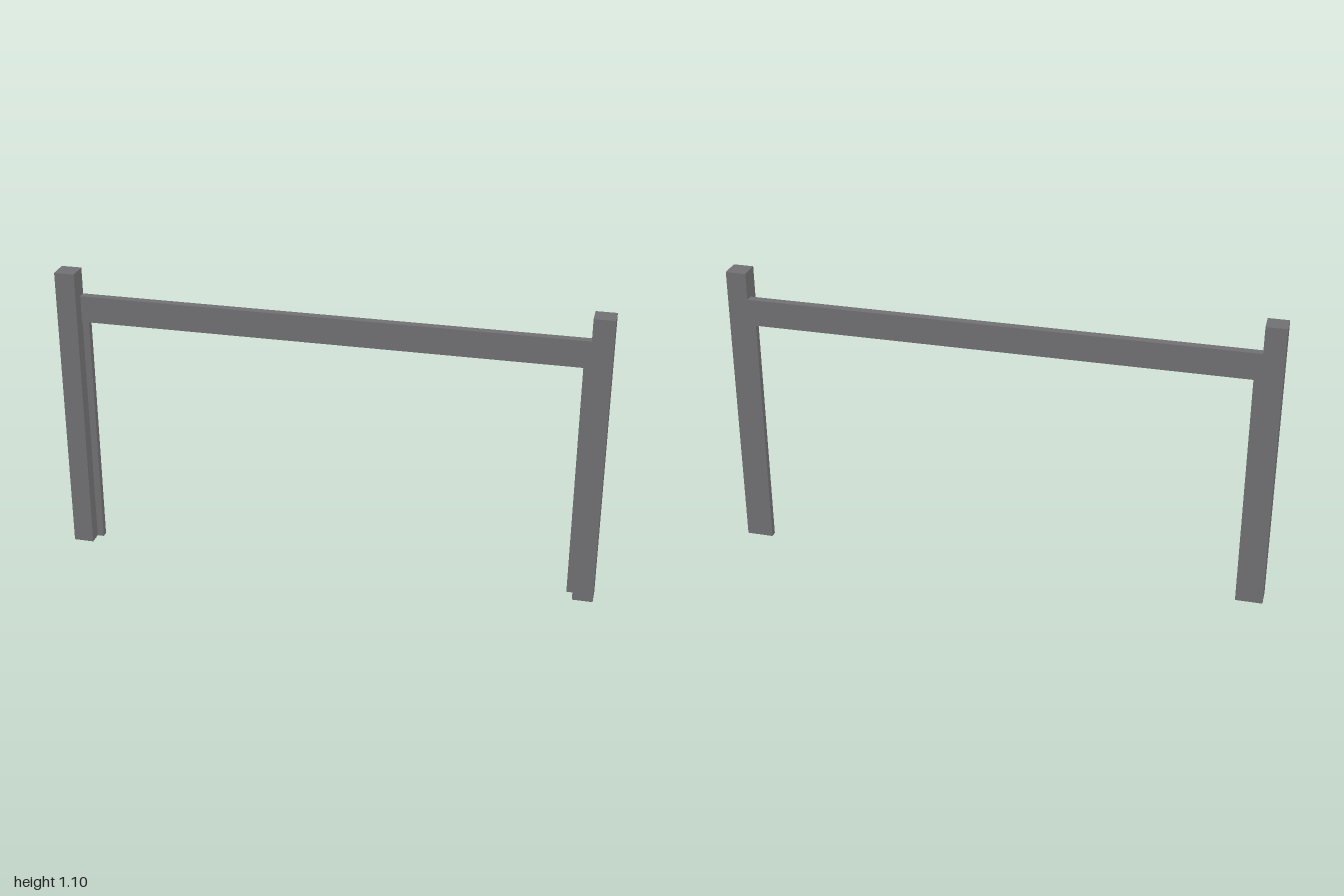
import * as THREE from 'three';

const POST = 0.075;      // square post section
const HEIGHT = 1.1;
const STRIP = 0.025;     // square section of the inner strips
const RAIL_DEPTH = 0.03;
const RAIL_TOP = 1.0;
const RAIL_BOTTOM = 0.9;

export function createModel() {
  const group = new THREE.Group();
  group.name = 'frame';
  const material = new THREE.MeshStandardMaterial({ color: 0x707072 });

  function addBox(name, w, h, d, x, y, z) {
    const mesh = new THREE.Mesh(new THREE.BoxGeometry(w, h, d), material);
    mesh.name = name;
    mesh.position.set(x, y, z);
    group.add(mesh);
  }

  const back = -POST / 2;  // rail and strips sit flush with the back of the posts
  const inner = 1 - POST;  // inner face of each post

  for (const [side, s] of [['left', 1], ['right', -1]]) {
    // Square upright post
    addBox(side + 'Post', POST, HEIGHT, POST, s * (1 - POST / 2), HEIGHT / 2, 0);
    // Thin stop strip along the post, below the rail
    addBox(side + 'Strip', STRIP, RAIL_BOTTOM, STRIP, s * (inner - STRIP / 2), RAIL_BOTTOM / 2, back + STRIP / 2);
  }

  // Top rail between the posts
  addBox('topRail', inner * 2, RAIL_TOP - RAIL_BOTTOM, RAIL_DEPTH, 0, (RAIL_TOP + RAIL_BOTTOM) / 2, back + RAIL_DEPTH / 2);

  return group;
}
